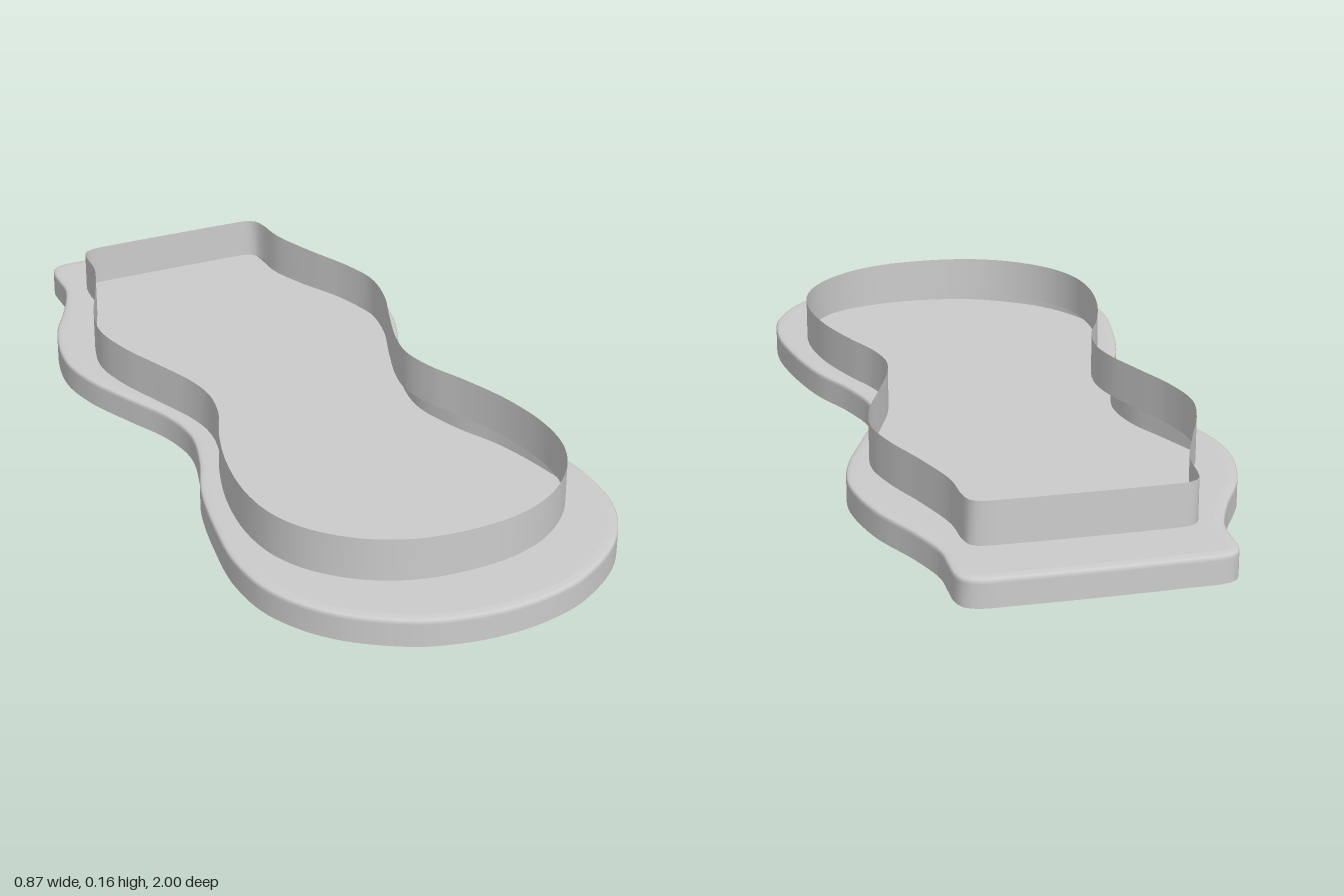
import * as THREE from 'three';

// Closed smooth outline: right side runs back to front, left side front to back, as [x, z]
function outline(right, left, samples = 280) {
  const pts = [...right, ...left].map(([x, z]) => new THREE.Vector3(x, 0, z));
  const curve = new THREE.CatmullRomCurve3(pts, true, 'centripetal');
  return curve.getSpacedPoints(samples).slice(0, samples);
}

// Outline moved inwards along its normals
function inset(loop, d) {
  const n = loop.length;
  return loop.map((p, i) => {
    const t = loop[(i + 1) % n].clone().sub(loop[(i + n - 1) % n]).normalize();
    return new THREE.Vector3(p.x - t.z * d, 0, p.z + t.x * d);
  });
}

// Smooth band through levels given as [inset, height], bottom to top
function band(loop, levels) {
  const n = loop.length, pos = [], idx = [];
  levels.forEach(([d, y], k) => {
    inset(loop, d).forEach((p, i) => {
      pos.push(p.x, y, p.z);
      if (k === levels.length - 1) return;
      const a = k * n + i, b = k * n + (i + 1) % n;
      idx.push(b, a, a + n, b, a + n, b + n);
    });
  });
  const g = new THREE.BufferGeometry();
  g.setAttribute('position', new THREE.Float32BufferAttribute(pos, 3));
  g.setIndex(idx);
  g.computeVertexNormals();
  return g;
}

// Flat upward face inside an outline, with optional openings
function sheet(loop, y, openings = []) {
  const flat = l => l.map(p => new THREE.Vector2(p.x, -p.z));
  const shape = new THREE.Shape(flat(loop));
  shape.holes = openings.map(l => new THREE.Path(flat(l)));
  return new THREE.ShapeGeometry(shape).rotateX(-Math.PI / 2).translate(0, y, 0);
}

export function createModel() {
  const group = new THREE.Group();
  const material = new THREE.MeshStandardMaterial({ color: 0xcccccc, side: THREE.DoubleSide });
  const add = (name, geometry) => {
    const m = new THREE.Mesh(geometry, material);
    m.name = name;
    group.add(m);
  };

  const baseLoop = outline(
    [[0, -1], [0.2, -1], [0.26, -0.998], [0.292, -0.984], [0.304, -0.955], [0.306, -0.9], [0.308, -0.84],
      [0.34, -0.74], [0.4, -0.6], [0.428, -0.44], [0.407, -0.32], [0.353, -0.185], [0.308, -0.07], [0.295, 0.04],
      [0.325, 0.16], [0.38, 0.29], [0.418, 0.45], [0.433, 0.6], [0.412, 0.735], [0.333, 0.863], [0.2, 0.958], [0.1, 0.99]],
    [[0, 1], [-0.1, 0.99], [-0.2, 0.958], [-0.333, 0.863], [-0.412, 0.735], [-0.432, 0.6], [-0.415, 0.45], [-0.38, 0.29],
      [-0.33, 0.16], [-0.302, 0.04], [-0.317, -0.07], [-0.365, -0.185], [-0.417, -0.32], [-0.434, -0.44],
      [-0.4, -0.6], [-0.33, -0.74], [-0.292, -0.84], [-0.288, -0.9], [-0.285, -0.95], [-0.272, -0.981],
      [-0.24, -0.994], [-0.18, -0.996]]);

  const rimLoop = outline(
    [[0, -0.844], [0.18, -0.844], [0.222, -0.842], [0.245, -0.83], [0.254, -0.8], [0.26, -0.715], [0.298, -0.59],
      [0.343, -0.47], [0.364, -0.37], [0.347, -0.26], [0.302, -0.14], [0.264, -0.03], [0.252, 0.05], [0.27, 0.14],
      [0.307, 0.23], [0.349, 0.36], [0.367, 0.5], [0.352, 0.61], [0.305, 0.7], [0.22, 0.78], [0.12, 0.825]],
    [[0, 0.839], [-0.12, 0.825], [-0.22, 0.78], [-0.305, 0.7], [-0.35, 0.61], [-0.364, 0.5], [-0.348, 0.36], [-0.31, 0.23],
      [-0.273, 0.14], [-0.259, 0.05], [-0.27, -0.03], [-0.308, -0.14], [-0.35, -0.26], [-0.367, -0.37],
      [-0.346, -0.47], [-0.298, -0.59], [-0.253, -0.715], [-0.246, -0.79], [-0.237, -0.825], [-0.21, -0.839], [-0.16, -0.842]]);

  // Hollow base: bottom sheet, outer side with a softened edge, and a ledge open inside the rim
  add('bottomSheet', sheet(baseLoop, 0));
  add('baseSide', band(baseLoop, [[0, 0], [0, 0.052], [0, 0.058], [0.003, 0.0615], [0.01, 0.063], [0.022, 0.064]]));
  add('ledge', sheet(inset(baseLoop, 0.022), 0.064, [rimLoop]));

  // Thin upright rim around the opening
  add('rimWall', band(rimLoop, [[0, 0.064], [0, 0.162]]));
  return group;
}
